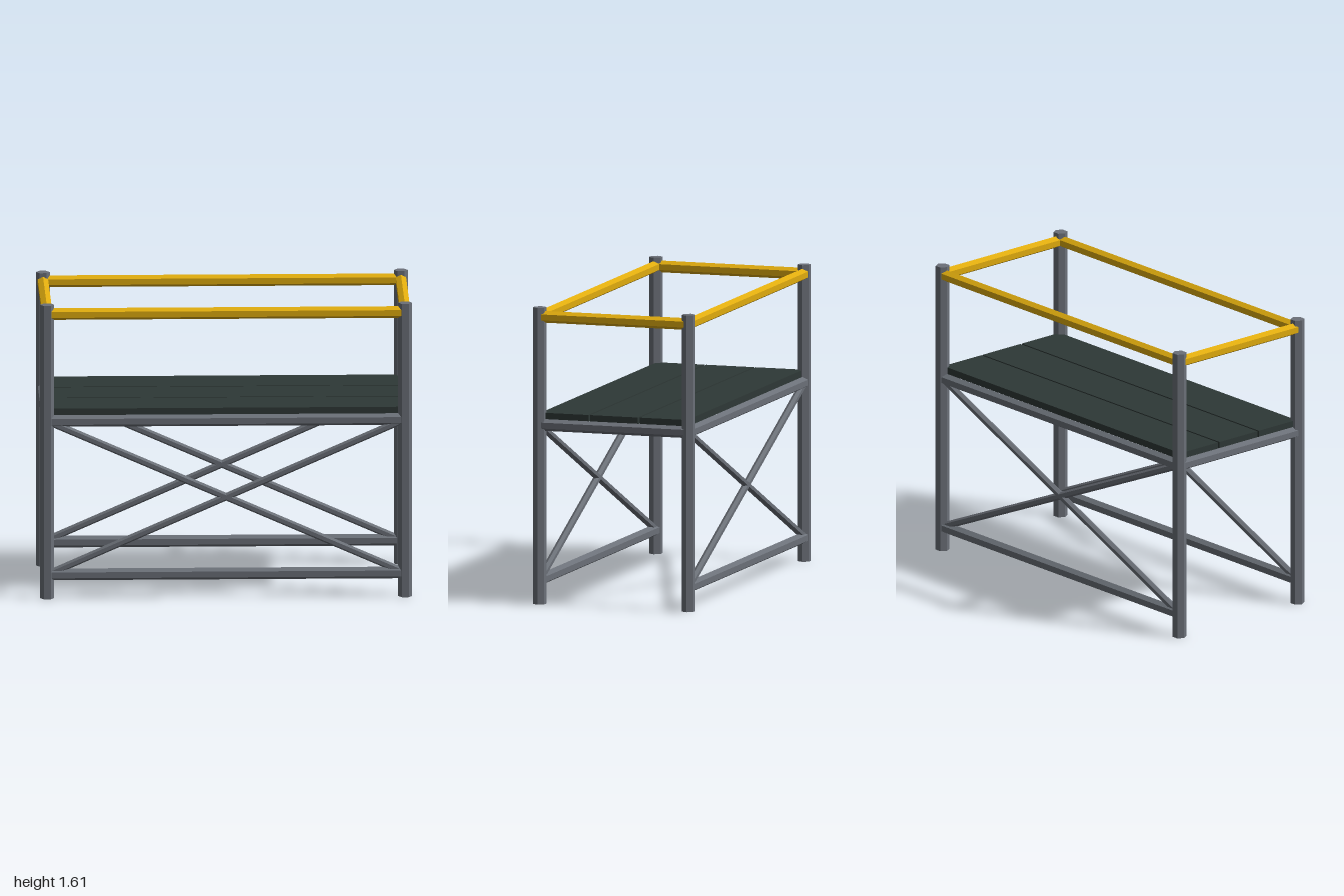
import * as THREE from 'three';

export function createModel() {
  const model = new THREE.Group();
  model.name = 'scaffoldPlatform';

  const material = (name, color) => {
    const m = new THREE.MeshStandardMaterial({ color, flatShading: true });
    m.name = name;
    return m;
  };
  const steel = material('steelGrey', 0x6b7078);
  const yellow = material('safetyYellow', 0xe0ac0e);
  const decking = material('darkDecking', 0x2e3836);

  const HEIGHT = 1.612;
  const X = 0.9625, Z = 0.4225;      // post centres
  const DECK_RAIL = 0.973, LOW_RAIL = 0.13, GUARD_RAIL = 1.561;

  // Hexagonal tube running between two points
  const up = new THREE.Vector3(0, 1, 0);
  function tube(name, a, b, radius, mat) {
    const start = new THREE.Vector3(...a), end = new THREE.Vector3(...b);
    const dir = end.clone().sub(start);
    const geometry = new THREE.CylinderGeometry(radius, radius, dir.length(), 6);
    // Tubes along z keep corners on z before tilting, all others on x
    if (Math.abs(dir.z) < 1e-6) geometry.rotateY(Math.PI / 6);
    const mesh = new THREE.Mesh(geometry, mat);
    mesh.name = name;
    mesh.position.copy(start).add(end).multiplyScalar(0.5);
    mesh.quaternion.setFromUnitVectors(up, dir.normalize());
    model.add(mesh);
  }

  // Front and back frames: posts, long rails and crossed braces
  for (const [side, z] of [['front', Z], ['back', -Z]]) {
    tube(side + 'LeftPost', [X, 0, z], [X, HEIGHT, z], 0.0375, steel);
    tube(side + 'RightPost', [-X, 0, z], [-X, HEIGHT, z], 0.0375, steel);
    tube(side + 'LowerRail', [-X, LOW_RAIL, z], [X, LOW_RAIL, z], 0.032, steel);
    tube(side + 'DeckRail', [-X, DECK_RAIL, z], [X, DECK_RAIL, z], 0.032, steel);
    tube(side + 'GuardRail', [-X, GUARD_RAIL, z], [X, GUARD_RAIL, z], 0.032, yellow);
    tube(side + 'BraceRising', [-X, LOW_RAIL, z], [X, DECK_RAIL, z], 0.02, steel);
    tube(side + 'BraceFalling', [-X, DECK_RAIL, z], [X, LOW_RAIL, z], 0.02, steel);
  }

  // Short end rails
  for (const [side, x] of [['left', X], ['right', -X]]) {
    tube(side + 'DeckRail', [x, DECK_RAIL, -Z], [x, DECK_RAIL, Z], 0.032, steel);
    tube(side + 'GuardRail', [x, GUARD_RAIL, -Z], [x, GUARD_RAIL, Z], 0.032, yellow);
  }

  // Three deck planks separated by narrow gaps
  for (let i = -1; i <= 1; i++) {
    const plank = new THREE.Mesh(new THREE.BoxGeometry(X * 2, 0.037, 0.27), decking);
    plank.name = 'deckPlank' + (i + 2);
    plank.position.set(0, 1.0205, i * 0.281);
    model.add(plank);
  }

  return model;
}
